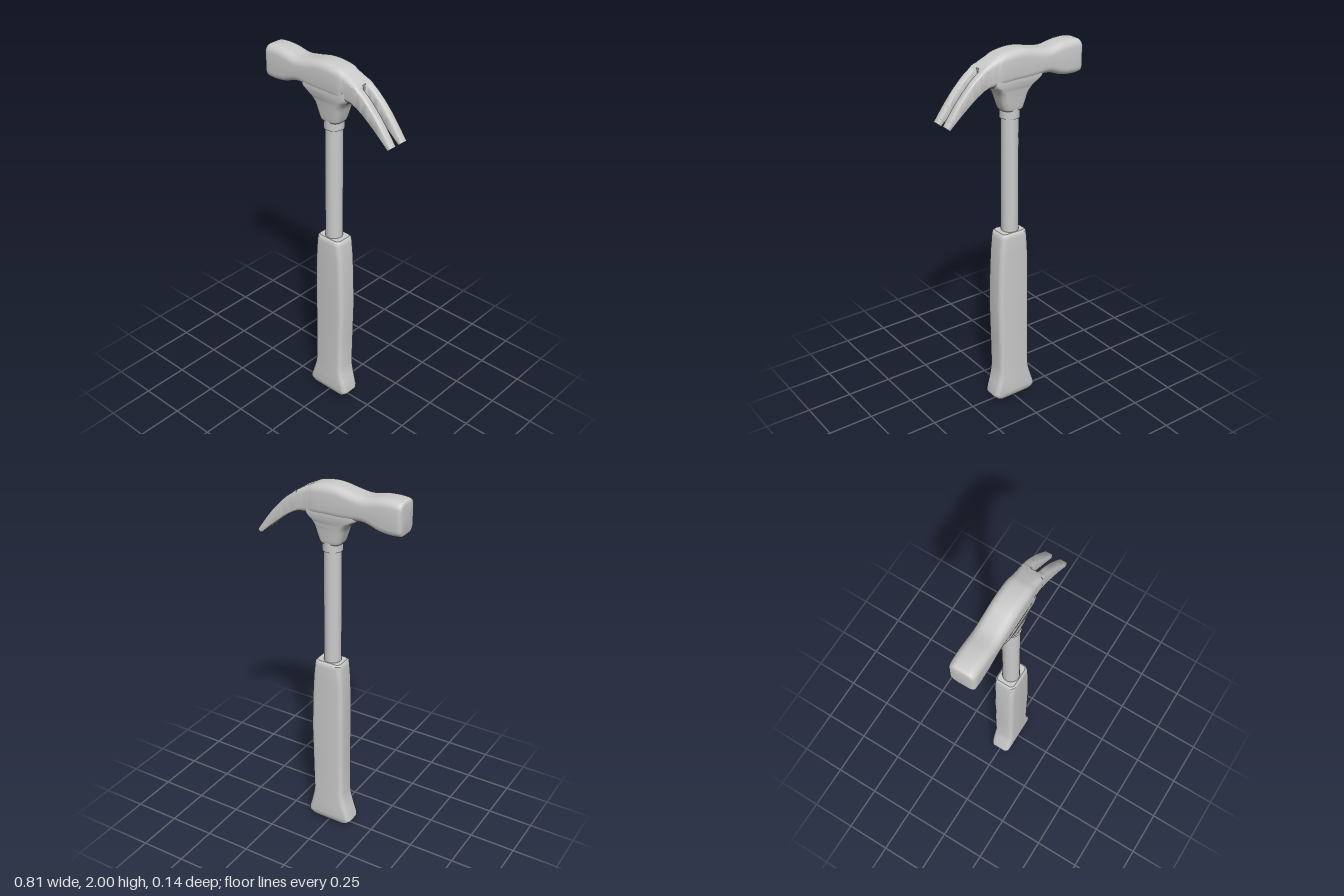
import * as THREE from 'three';
import { toCreasedNormals } from 'three/addons/utils/BufferGeometryUtils.js';

const V = (x, y, z) => new THREE.Vector3(x, y, z);
const metal = new THREE.MeshStandardMaterial({ color: 0xcccccc });

// Catmull-Rom resampling of number rows
function smooth(rows, steps = 4) {
  const out = [];
  const at = i => rows[THREE.MathUtils.clamp(i, 0, rows.length - 1)];
  for (let i = 0; i < rows.length - 1; i++) {
    for (let s = 0; s < steps; s++) {
      const t = s / steps;
      out.push(rows[i].map((b, k) => {
        const a = at(i - 1)[k], c = at(i + 1)[k], d = at(i + 2)[k];
        return 0.5 * (2 * b + (c - a) * t + (2 * a - 5 * b + 4 * c - d) * t * t + (3 * b - a - 3 * c + d) * t * t * t);
      }));
    }
  }
  out.push(rows[rows.length - 1]);
  return out;
}

// Skin over rounded-rectangle sections {c, u, v, r}: centre, half axes, corner radius
function loft(name, sections, segs = 5, crease = 0.7) {
  const pos = [], index = [], n = 4 * (segs + 1);
  for (const { c, u, v, r } of sections) {
    const hu = u.length(), hv = v.length(), rad = Math.min(r, hu * 0.98, hv * 0.98);
    for (let q = 0; q < 4; q++) {
      const su = q === 0 || q === 3 ? 1 : -1, sv = q < 2 ? 1 : -1;
      for (let s = 0; s <= segs; s++) {
        const a = (q + s / segs) * Math.PI / 2;
        const p = c.clone()
          .addScaledVector(u, (su * (hu - rad) + rad * Math.cos(a)) / hu)
          .addScaledVector(v, (sv * (hv - rad) + rad * Math.sin(a)) / hv);
        pos.push(p.x, p.y, p.z);
      }
    }
  }
  const last = sections.length - 1;
  for (let i = 0; i < last; i++) {
    for (let j = 0; j < n; j++) {
      const a = i * n + j, b = i * n + (j + 1) % n;
      index.push(a, b, a + n, b, b + n, a + n);
    }
  }
  // End caps
  [0, last].forEach((i, k) => {
    const m = pos.length / 3, c = sections[i].c;
    pos.push(c.x, c.y, c.z);
    for (let j = 0; j < n; j++) {
      const a = i * n + j, b = i * n + (j + 1) % n;
      if (k) index.push(m, a, b); else index.push(m, b, a);
    }
  });
  const geo = new THREE.BufferGeometry();
  geo.setAttribute('position', new THREE.Float32BufferAttribute(pos, 3));
  geo.setIndex(index);
  const mesh = new THREE.Mesh(toCreasedNormals(geo, crease), metal);
  mesh.name = name;
  return mesh;
}

// Section from [xTop, yTop, xBottom, yBottom, zInner, zOuter, radius]
const spanning = ([xt, yt, xb, yb, z0, z1, r], side = 1) => ({
  c: V((xt + xb) / 2, (yt + yb) / 2, side * (z0 + z1) / 2),
  u: V((xt - xb) / 2, (yt - yb) / 2, 0),
  v: V(0, 0, (z1 - z0) / 2), r,
});

// Horizontal section from [y, xMin, xMax, halfDepth, radius]
const level = ([y, x0, x1, hz, r]) => ({
  c: V((x0 + x1) / 2, y, 0), u: V(0, 0, hz), v: V((x1 - x0) / 2, 0, 0), r,
});

export function createModel() {
  const group = new THREE.Group();

  // Grip with flared butt
  group.add(loft('grip', [
    [0, -0.105, 0.095, 0.04, 0.02],
    [0.012, -0.118, 0.108, 0.05, 0.024],
    [0.032, -0.136, 0.127, 0.057, 0.026],
    [0.05, -0.133, 0.127, 0.059, 0.026],
    [0.11, -0.112, 0.11, 0.06, 0.026],
    [0.16, -0.098, 0.099, 0.06, 0.026],
    [0.2, -0.092, 0.094, 0.06, 0.026],
    [0.4, -0.09, 0.099, 0.06, 0.026],
    [0.6, -0.089, 0.104, 0.06, 0.026],
    [0.8, -0.088, 0.099, 0.06, 0.026],
    [0.92, -0.084, 0.092, 0.06, 0.026],
    [1.0, -0.077, 0.084, 0.06, 0.026],
    [1.022, -0.074, 0.08, 0.058, 0.025],
    [1.03, -0.066, 0.072, 0.05, 0.02],
  ].map(level), 4));

  // Shaft and collar
  for (const [name, radius, y0, y1] of [['shaft', 0.046, 1.0, 1.72], ['collar', 0.052, 1.65, 1.71]]) {
    const mesh = new THREE.Mesh(new THREE.CylinderGeometry(radius, radius, y1 - y0, 32), metal);
    mesh.position.y = (y0 + y1) / 2;
    mesh.name = name;
    group.add(mesh);
  }

  // Socket flaring up into the head
  group.add(loft('socket', smooth([
    [1.692, -0.054, 0.052, 0.047, 0.03],
    [1.702, -0.062, 0.058, 0.052, 0.032],
    [1.74, -0.074, 0.07, 0.056, 0.032],
    [1.78, -0.088, 0.082, 0.06, 0.032],
    [1.81, -0.114, 0.102, 0.063, 0.032],
    [1.83, -0.145, 0.125, 0.065, 0.032],
    [1.85, -0.17, 0.135, 0.065, 0.032],
    [1.88, -0.17, 0.135, 0.064, 0.032],
  ], 3).map(level)));

  // Head from striking face to the root of the claw
  group.add(loft('head', smooth([
    [-0.405, 1.965, -0.405, 1.835, -0.05, 0.05, 0.025],
    [-0.401, 1.98, -0.401, 1.818, -0.062, 0.06, 0.032],
    [-0.385, 1.988, -0.385, 1.812, -0.068, 0.066, 0.038],
    [-0.34, 1.992, -0.34, 1.81, -0.07, 0.067, 0.04],
    [-0.28, 1.988, -0.28, 1.818, -0.07, 0.067, 0.04],
    [-0.2, 1.974, -0.2, 1.843, -0.07, 0.067, 0.04],
    [-0.12, 1.985, -0.12, 1.838, -0.07, 0.067, 0.04],
    [-0.06, 1.997, -0.06, 1.835, -0.07, 0.067, 0.04],
    [0, 2.0, 0, 1.835, -0.07, 0.067, 0.04],
    [0.07, 1.99, 0.07, 1.832, -0.069, 0.066, 0.038],
    [0.11, 1.973, 0.11, 1.83, -0.064, 0.062, 0.034],
    [0.15, 1.953, 0.15, 1.832, -0.062, 0.061, 0.026],
    [0.187, 1.931, 0.187, 1.826, -0.062, 0.061, 0.018],
  ]).map(s => spanning(s))));

  // Split claw
  const prong = smooth([
    [0.17, 1.941, 0.17, 1.83, 0, 0.061, 0.014],
    [0.187, 1.931, 0.187, 1.826, 0.005, 0.062, 0.014],
    [0.2, 1.92, 0.197, 1.82, 0.016, 0.062, 0.014],
    [0.25, 1.88, 0.24, 1.792, 0.017, 0.062, 0.013],
    [0.325, 1.8, 0.308, 1.738, 0.017, 0.062, 0.012],
    [0.404, 1.692, 0.384, 1.674, 0.017, 0.062, 0.008],
  ]);
  for (const side of [1, -1]) {
    group.add(loft(side > 0 ? 'frontClaw' : 'backClaw', prong.map(s => spanning(s, side))));
  }
  return group;
}
